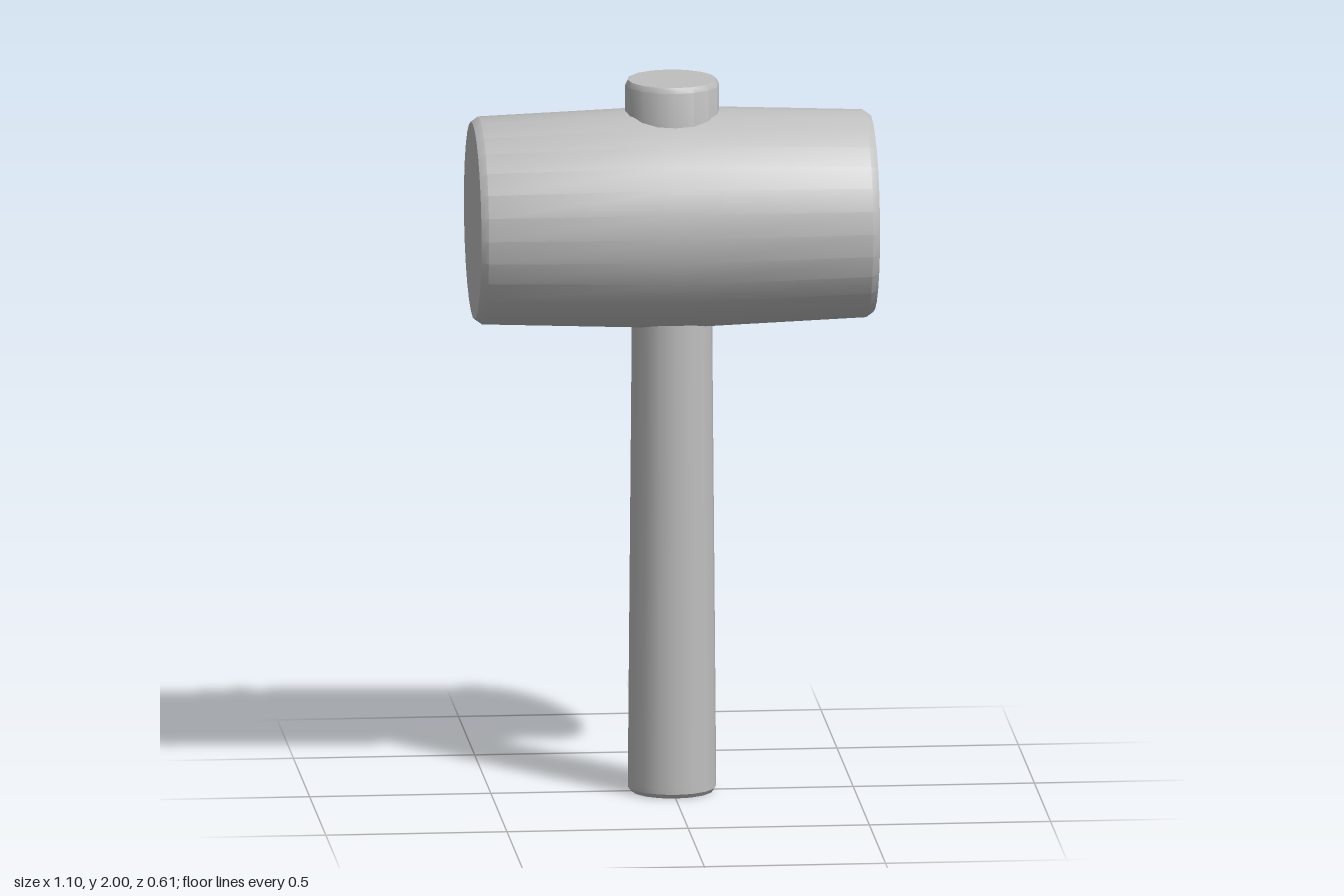
import * as THREE from 'three';
import { toCreasedNormals } from 'three/addons/utils/BufferGeometryUtils.js';

const grey = new THREE.MeshStandardMaterial({ color: 0xbfbfbf });
grey.name = 'grey';

// Closed turned part from [radius, height] pairs, listed bottom to top
function turned(name, profile, sides) {
  const points = profile.map(([r, y]) => new THREE.Vector2(r, y));
  const geometry = toCreasedNormals(new THREE.LatheGeometry(points, sides), 0.6);
  const mesh = new THREE.Mesh(geometry, grey);
  mesh.name = name;
  return mesh;
}

export function createModel() {
  const model = new THREE.Group();
  model.name = 'mallet';

  // Handle, slightly wider at the foot, running into the head
  model.add(turned('handle', [
    [0, 0], [0.113, 0], [0.122, 0.012], [0.122, 0.03], [0.111, 1.32], [0.111, 1.6], [0, 1.6],
  ], 16));

  // Handle end poking out above the head
  model.add(turned('handleTop', [
    [0, 1.7], [0.13, 1.7], [0.13, 1.985], [0.122, 2], [0, 2],
  ], 16));

  // Barrel-shaped head lying along x, with bevelled striking faces
  const head = turned('head', [
    [0, -0.55], [0.272, -0.55], [0.286, -0.53], [0.306, 0],
    [0.286, 0.53], [0.272, 0.55], [0, 0.55],
  ], 28);
  head.rotation.z = Math.PI / 2;
  head.position.y = 1.612;
  model.add(head);

  return model;
}
